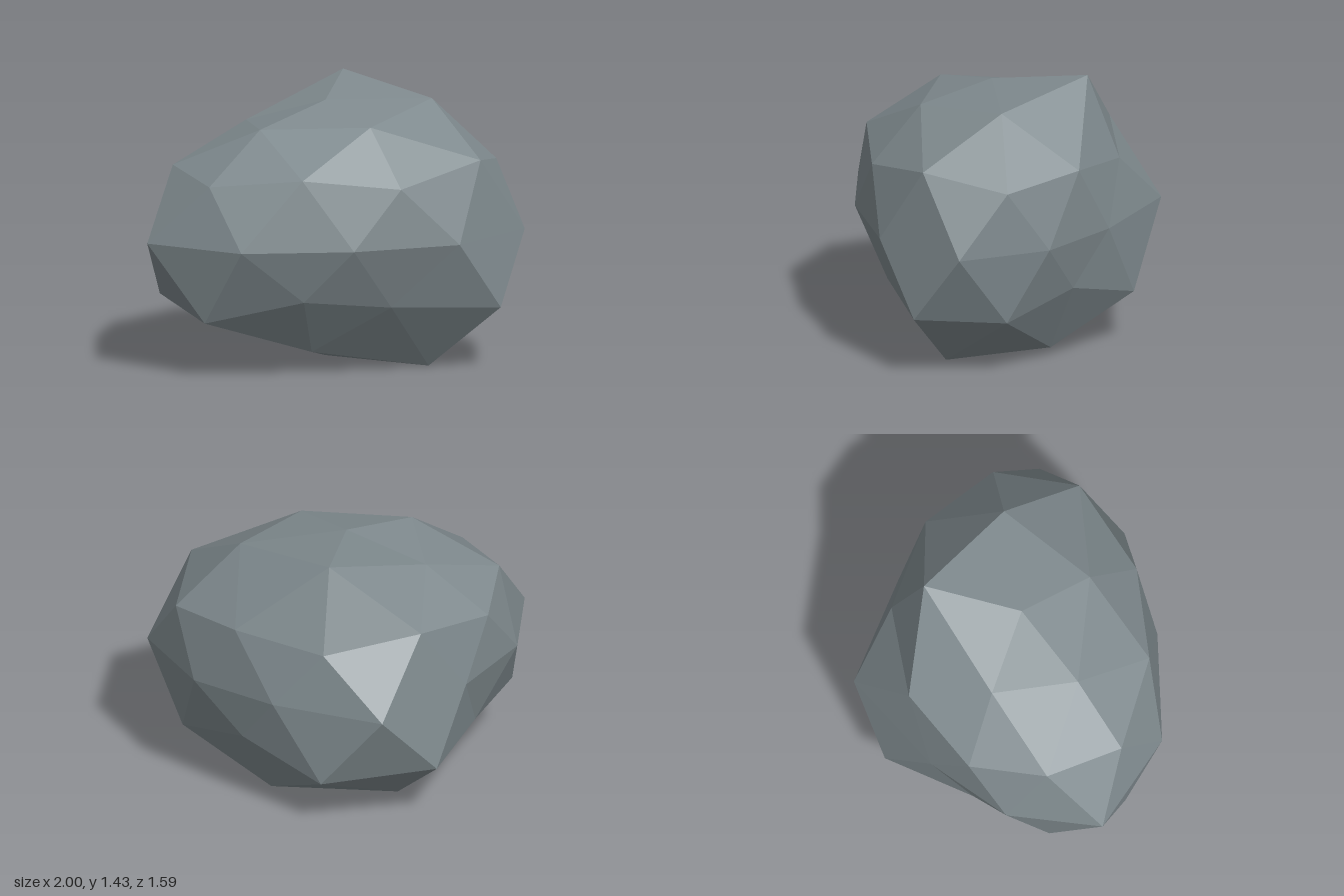
import * as THREE from 'three';

// Faceted boulder: a once-subdivided icosahedron, squashed, each corner pushed in or out.
const CENTRE = new THREE.Vector3(0, 0.7, 0.08);
const SCALE = new THREE.Vector3(1, 0.72, 0.8);

// Heights on the unit sphere
const POLE_MID = 0.8507, RING_MID = 0.5257, RING = 0.4472;

// Corner at a compass angle (0 = front, growing towards +x)
function corner(angle, height, radius) {
  const a = THREE.MathUtils.degToRad(angle);
  const h = Math.sqrt(1 - height * height);
  return new THREE.Vector3(Math.sin(a) * h, height, Math.cos(a) * h)
    .multiplyScalar(radius).multiply(SCALE).add(CENTRE);
}

// Ring of corners; heights alternate through the given list
function ring(start, step, heights, radii) {
  return radii.map((r, i) => corner(start + i * step, heights[i % heights.length], r));
}

function rockGeometry() {
  const top = corner(0, 1, 0.93);
  const cap = ring(18, 72, [POLE_MID], [0.96, 1.07, 1.2, 0.88, 0.93]);
  const upper = ring(18, 36, [RING, RING_MID],
    [0.95, 1.06, 1.01, 0.98, 0.94, 0.98, 0.92, 0.95, 0.97, 0.97]);
  const waist = ring(0, 36, [0],
    [0.89, 0.98, 1.05, 0.9, 0.87, 1.1, 0.87, 0.9, 1.05, 0.99]);
  const lower = ring(18, 36, [-RING_MID, -RING],
    [0.87, 1.14, 1.02, 0.87, 1.1, 1.13, 0.88, 0.98, 1.06, 0.87]);
  const base = ring(54, 72, [-POLE_MID], [1.14, 1.07, 1.09, 0.8, 0.95]);
  const bottom = corner(0, -1, 0.94);

  const points = [];
  const tri = (a, b, c) => points.push(a, b, c);
  const at = (list, i) => list[i % list.length];

  // Top and bottom caps
  for (let k = 0; k < 5; k++) {
    const a = cap[k], a2 = at(cap, k + 1);
    const u = at(upper, 2 * k), u1 = at(upper, 2 * k + 1), u2 = at(upper, 2 * k + 2);
    tri(top, a, a2);
    tri(a, u, u1);
    tri(a, u1, a2);
    tri(a2, u1, u2);

    const d = base[k], d2 = at(base, k + 1);
    const l = at(lower, 2 * k + 1), l1 = at(lower, 2 * k + 2), l2 = at(lower, 2 * k + 3);
    tri(bottom, d2, d);
    tri(d, l1, l);
    tri(d, d2, l1);
    tri(d2, l2, l1);
  }
  // Bands above and below the waist
  for (let j = 0; j < 10; j++) {
    const w = waist[j], w2 = at(waist, j + 1);
    tri(upper[j], w, w2);
    tri(upper[j], w2, at(upper, j + 1));
    tri(lower[j], w2, w);
    tri(lower[j], at(lower, j + 1), w2);
  }

  const geometry = new THREE.BufferGeometry().setFromPoints(points);
  geometry.computeVertexNormals();
  return geometry;
}

export function createModel() {
  const group = new THREE.Group();
  group.name = 'boulder';
  const material = new THREE.MeshStandardMaterial({ color: 0x7f8a8e, flatShading: true });
  const rock = new THREE.Mesh(rockGeometry(), material);
  rock.name = 'rock';
  group.add(rock);
  return group;
}
